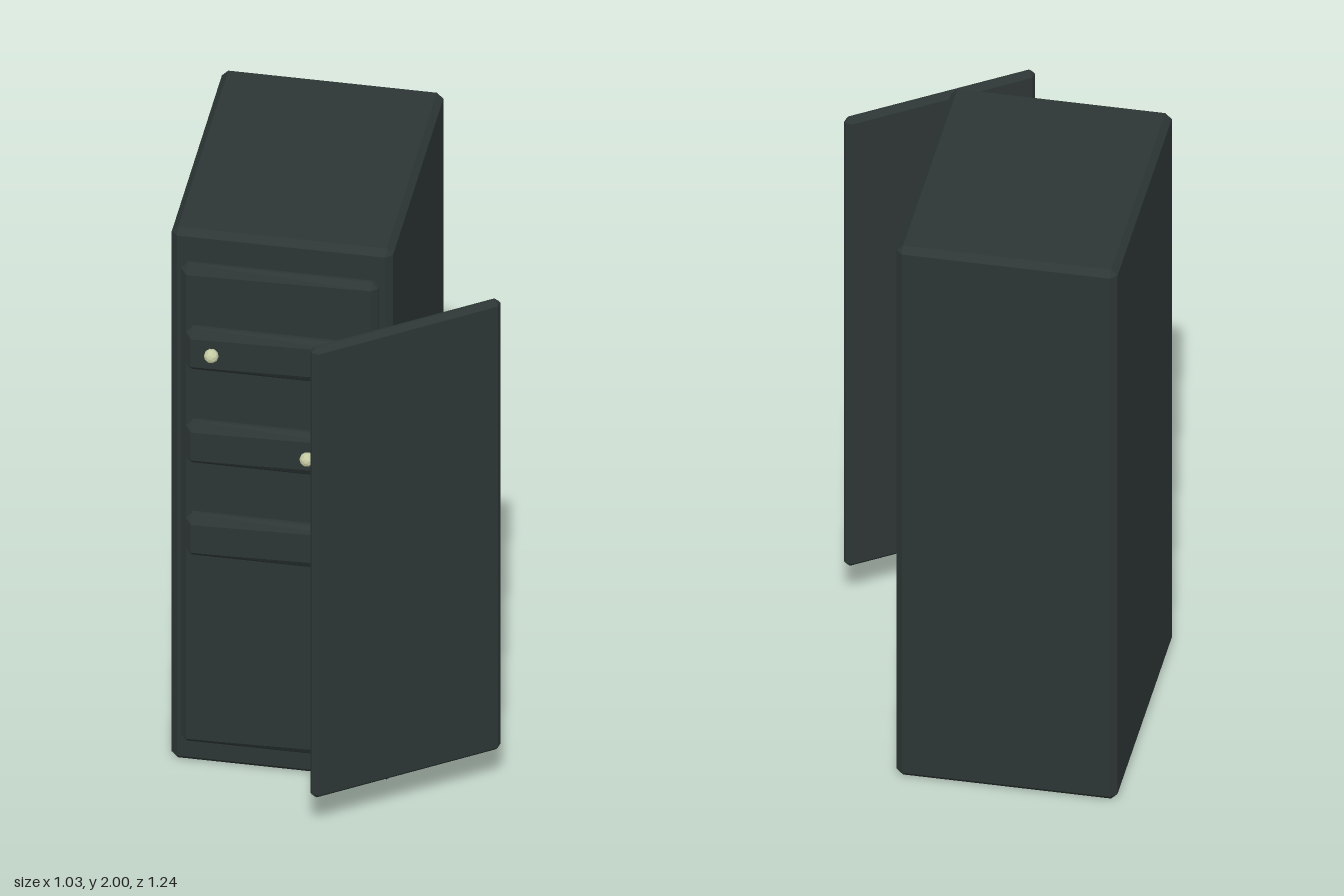
import * as THREE from 'three';
import { ConvexGeometry } from 'three/addons/geometries/ConvexGeometry.js';

// Box with chamfered edges; lean slants the front face for a hand-cut look
function chamferBox(w, h, d, c, lean = 0) {
  const points = [];
  for (const sx of [-1, 1]) for (const sy of [-1, 1]) for (const sz of [-1, 1]) {
    for (let axis = 0; axis < 3; axis++) {
      const inset = [c, c, c];
      inset[axis] = 0;
      const p = new THREE.Vector3(sx * (w / 2 - inset[0]), sy * (h / 2 - inset[1]), sz * (d / 2 - inset[2]));
      if (axis === 2 && sz > 0 && sx * sy < 0) p.y -= lean * sy;
      points.push(p);
    }
  }
  return new ConvexGeometry(points);
}

export function createModel() {
  const group = new THREE.Group();
  const darkMetal = new THREE.MeshStandardMaterial({ color: 0x2d3635 });
  darkMetal.name = 'darkMetal';
  darkMetal.flatShading = true;
  const paleKnob = new THREE.MeshStandardMaterial({ color: 0xc4cba3 });
  paleKnob.name = 'paleKnob';
  paleKnob.flatShading = true;

  const add = (name, geometry, material, x, y, z) => {
    const mesh = new THREE.Mesh(geometry, material);
    mesh.name = name;
    mesh.position.set(x, y, z);
    group.add(mesh);
    return mesh;
  };

  // Tall cabinet
  add('cabinet', chamferBox(0.695, 2, 0.893, 0.02), darkMetal, -0.172, 1, -0.175);

  // Raised front panel
  add('frontPanel', chamferBox(0.62, 1.8, 0.05, 0.02, 0.012), darkMetal, -0.172, 1, 0.293);

  // Three drawers, each with one knob
  const drawers = [[1.605, -0.375], [1.253, -0.075], [0.905, 0.025]];
  drawers.forEach(([y, knobX], i) => {
    add(`drawer${i + 1}`, chamferBox(0.58, 0.157, 0.05, 0.019, 0.014), darkMetal, -0.171, y, 0.325);
    add(`knob${i + 1}`, new THREE.IcosahedronGeometry(0.023, 1), paleKnob, knobX, y, 0.363);
  });

  // Door standing open at an angle
  const door = add('door', chamferBox(0.642, 1.695, 0.04, 0.016), darkMetal, 0.246, 1.003, 0.424);
  door.rotation.y = 0.62;

  return group;
}
